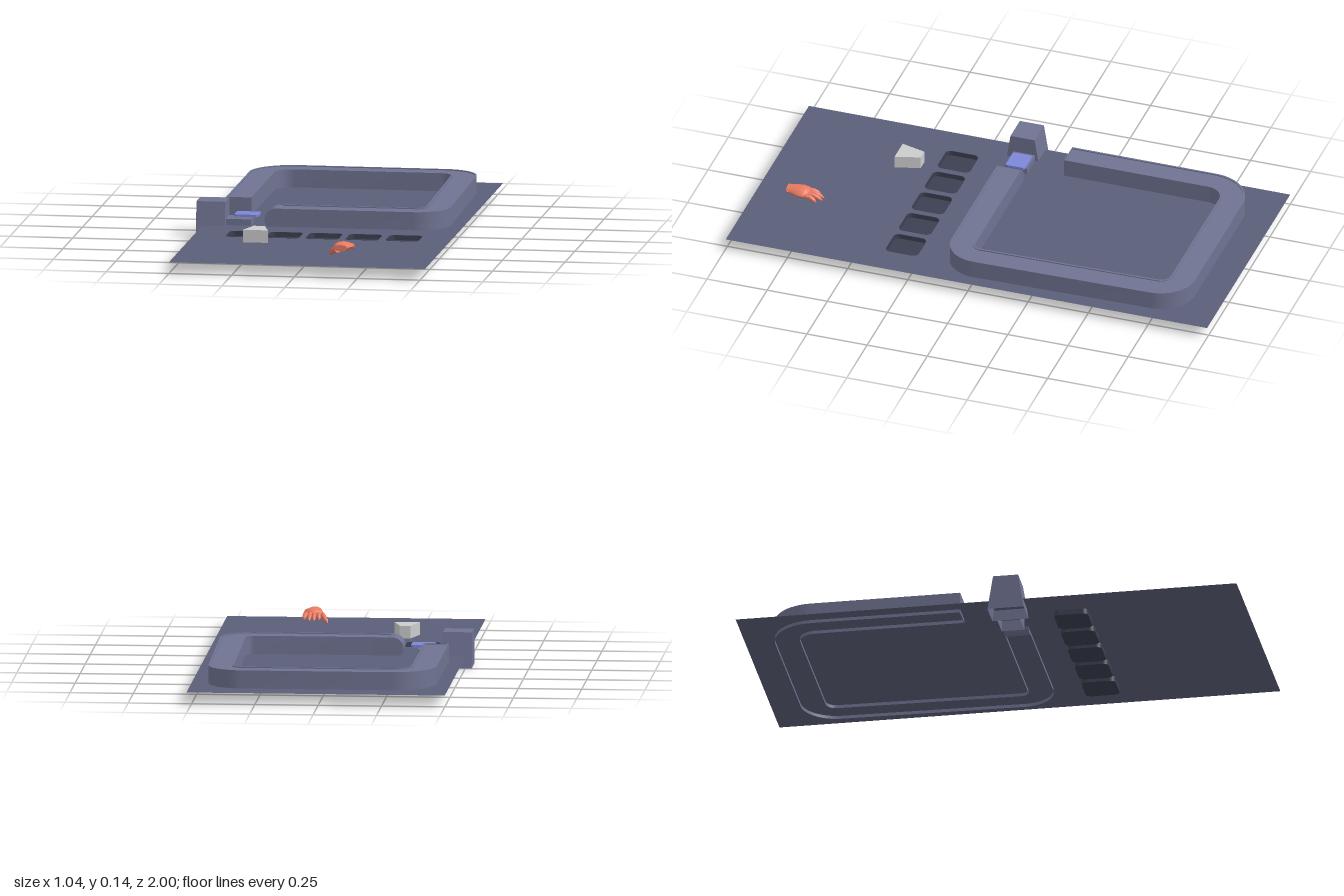
import * as THREE from 'three';
import { toCreasedNormals } from 'three/addons/utils/BufferGeometryUtils.js';

const mat = (color) => new THREE.MeshStandardMaterial({ color, side: THREE.DoubleSide });
const FLOOR = mat(0x5a5e78), STEEL = mat(0x6f7391), DARK = mat(0x3c3f50);
const BLUE = mat(0x7c86d8), GREY = mat(0xcccccc), SKIN = mat(0xe87a62);
const FLOOR_Y = 0.05;

function add(parent, name, geometry, material, x = 0, y = 0, z = 0) {
  const mesh = new THREE.Mesh(geometry, material);
  mesh.name = name;
  mesh.position.set(x, y, z);
  parent.add(mesh);
  return mesh;
}

// Rounded rectangle, drawn as a shape or a hole
function roundRect(Type, cx, cy, w, h, r) {
  const p = new Type(), a = w / 2 - r, b = h / 2 - r;
  p.absarc(cx + a, cy + b, r, 0, Math.PI / 2);
  p.absarc(cx - a, cy + b, r, Math.PI / 2, Math.PI);
  p.absarc(cx - a, cy - b, r, Math.PI, Math.PI * 1.5);
  p.absarc(cx + a, cy - b, r, Math.PI * 1.5, Math.PI * 2);
  p.closePath();
  return p;
}

// Extrudes a plan outline upward (shape y becomes -z)
function slab(shape, depth) {
  const g = new THREE.ExtrudeGeometry(shape, { depth, bevelEnabled: false, curveSegments: 8 });
  return g.rotateX(-Math.PI / 2);
}

// Line through corners, each rounded by its radius; corners are [x, z, radius]
function roundedPath(corners) {
  const v = corners.map(([x, z]) => new THREE.Vector2(x, z));
  const points = [v[0]];
  for (let i = 1; i < v.length - 1; i++) {
    const r = corners[i][2], k = 0.55;
    const toA = v[i - 1].clone().sub(v[i]).normalize();
    const toB = v[i + 1].clone().sub(v[i]).normalize();
    const at = (d, s) => v[i].clone().addScaledVector(d, s);
    points.push(...new THREE.CubicBezierCurve(at(toA, r), at(toA, r * (1 - k)),
      at(toB, r * (1 - k)), at(toB, r)).getPoints(12));
  }
  points.push(v[v.length - 1]);
  return points;
}

// Sweeps a [side, height] profile along a plan path
function sweep(path, profile) {
  const pos = [], index = [], n = profile.length;
  path.forEach((p, i) => {
    const before = path[Math.max(i - 1, 0)], after = path[Math.min(i + 1, path.length - 1)];
    const t = after.clone().sub(before).normalize();
    for (const [s, y] of profile) pos.push(p.x - t.y * s, y, p.y + t.x * s);
    if (i === 0) return;
    for (let j = 0; j < n - 1; j++) {
      const a = (i - 1) * n + j, c = i * n + j;
      index.push(a, a + 1, c, a + 1, c + 1, c);
    }
  });
  const g = new THREE.BufferGeometry();
  g.setAttribute('position', new THREE.Float32BufferAttribute(pos, 3));
  g.setIndex(index);
  return toCreasedNormals(g, 0.6);
}

// Box without its underside; its top is narrowed in z
function hood(w, h, d, topScale) {
  const g = new THREE.BoxGeometry(w, h, d), p = g.attributes.position;
  for (let i = 0; i < p.count; i++) if (p.getY(i) > 0) p.setZ(i, p.getZ(i) * topScale);
  const idx = Array.from(g.index.array);
  idx.splice(18, 6);
  g.setIndex(idx);
  g.clearGroups();
  g.computeVertexNormals();
  return g;
}

// Tapered limb along a curve, flattened in y, with a flat start
function limb(points, radii, flatten = 1, n = 14, sides = 12) {
  const curve = new THREE.CatmullRomCurve3(points.map((p) => new THREE.Vector3(...p)));
  const g = new THREE.TubeGeometry(curve, n, 1, sides), p = g.attributes.position;
  const v = new THREE.Vector3();
  for (let i = 0; i <= n; i++) {
    const c = curve.getPointAt(i / n), start = curve.getPointAt(Math.max(i, 1) / n);
    const f = (i / n) * (radii.length - 1), k = Math.min(Math.floor(f), radii.length - 2);
    const r = i === 0 ? 0 : THREE.MathUtils.lerp(radii[k], radii[k + 1], f - k);
    for (let j = 0; j <= sides; j++) {
      const q = i * (sides + 1) + j;
      v.fromBufferAttribute(p, q).sub(c).multiplyScalar(r);
      v.y *= flatten;
      v.add(start);
      p.setXYZ(q, v.x, v.y, v.z);
    }
  }
  return toCreasedNormals(g, 0.9);
}

function makeHand() {
  const hand = new THREE.Group();
  hand.name = 'hand';
  add(hand, 'palm', limb([[0.163, 0.1, 0.872], [0.162, 0.1, 0.84], [0.164, 0.098, 0.8], [0.168, 0.093, 0.762]],
    [0.026, 0.027, 0.034, 0.039, 0.036, 0], 0.5), SKIN);
  // Each finger: knuckle x, tip x, tip z
  const fingers = [[0.142, 0.136, 0.732], [0.158, 0.155, 0.712], [0.174, 0.174, 0.713], [0.189, 0.196, 0.733]];
  for (const [kx, tx, tz] of fingers) {
    add(hand, 'finger', limb([[kx, 0.096, 0.785], [(kx + tx) / 2, 0.094, (0.785 + tz) / 2], [tx, 0.078, tz]],
      [0.01, 0.0095, 0.009, 0.0085, 0.0075, 0]), SKIN);
  }
  add(hand, 'thumb', limb([[0.15, 0.094, 0.835], [0.126, 0.082, 0.812], [0.112, 0.068, 0.792], [0.106, 0.06, 0.778]],
    [0.016, 0.015, 0.012, 0.01, 0.008, 0]), SKIN);
  return hand;
}

export function createModel() {
  const model = new THREE.Group();

  // Floor sheet with an opening for every tray
  const trayXs = [-0.306, -0.146, 0.012, 0.17, 0.33], trayZ = 0.315;
  const floor = new THREE.Shape([[-0.5, -1], [0.52, -1], [0.52, 1], [-0.5, 1]].map((p) => new THREE.Vector2(...p)));
  for (const x of trayXs) floor.holes.push(roundRect(THREE.Path, x, -trayZ, 0.13, 0.134, 0.022));
  add(model, 'floor', new THREE.ShapeGeometry(floor, 8).rotateX(-Math.PI / 2), FLOOR, 0, FLOOR_Y, 0);

  // Sunken trays: bottom plus rim wall
  const bottom = roundRect(THREE.Shape, 0, 0, 0.13, 0.134, 0.022);
  const wall = roundRect(THREE.Shape, 0, 0, 0.132, 0.136, 0.023);
  wall.holes.push(roundRect(THREE.Path, 0, 0, 0.127, 0.131, 0.0205));
  for (const x of trayXs) {
    const tray = new THREE.Group();
    tray.name = 'tray';
    tray.position.set(x, 0.028, trayZ);
    add(tray, 'trayBottom', slab(bottom, 0.003), DARK);
    add(tray, 'trayWall', slab(wall, 0.0225), DARK);
    model.add(tray);
  }

  // Conveyor: walls, narrow rims and a slightly recessed belt
  const conveyor = new THREE.Group();
  conveyor.name = 'conveyor';
  const path = roundedPath([[-0.395, -0.115], [-0.395, -0.83, 0.12], [0.402, -0.83, 0.09],
    [0.418, 0.075, 0.085], [-0.21, 0.075]]);
  const half = [[0.05, 0.037], [0.05, 0.122], [0.042, 0.122], [0.042, 0.118]];
  const profile = [...half.map(([s, y]) => [-s, y]), ...half.slice().reverse()];
  add(conveyor, 'conveyorTrack', sweep(path, profile), STEEL);
  add(conveyor, 'conveyorEndPlate', new THREE.BoxGeometry(0.1, 0.085, 0.004), STEEL, -0.395, 0.0795, -0.115);
  const roller = new THREE.CylinderGeometry(0.045, 0.045, 0.1, 32).rotateX(Math.PI / 2);
  add(conveyor, 'endRoller', roller, STEEL, -0.21, 0.077, 0.075);
  model.add(conveyor);

  // Feeder at the start of the conveyor, open underneath
  add(model, 'feederHousing', hood(0.115, 0.14, 0.145, 0.69), STEEL, -0.4675, 0.075, 0.082);
  add(model, 'feederBase', hood(0.1, 0.07, 0.09, 1), STEEL, -0.36, 0.04, 0.075);
  const plate = slab(roundRect(THREE.Shape, 0, 0, 0.095, 0.08, 0.01), 0.009);
  add(model, 'feederPlate', plate, BLUE, -0.331, 0.083, 0.07);

  // Loose wedge block
  const wedge = new THREE.Shape([[-0.278, -0.535], [-0.178, -0.535], [-0.206, -0.436], [-0.25, -0.436]]
    .map((p) => new THREE.Vector2(...p)));
  add(model, 'wedgeBlock', slab(wedge, 0.05), GREY, 0, 0.056, 0);

  model.add(makeHand());
  return model;
}
